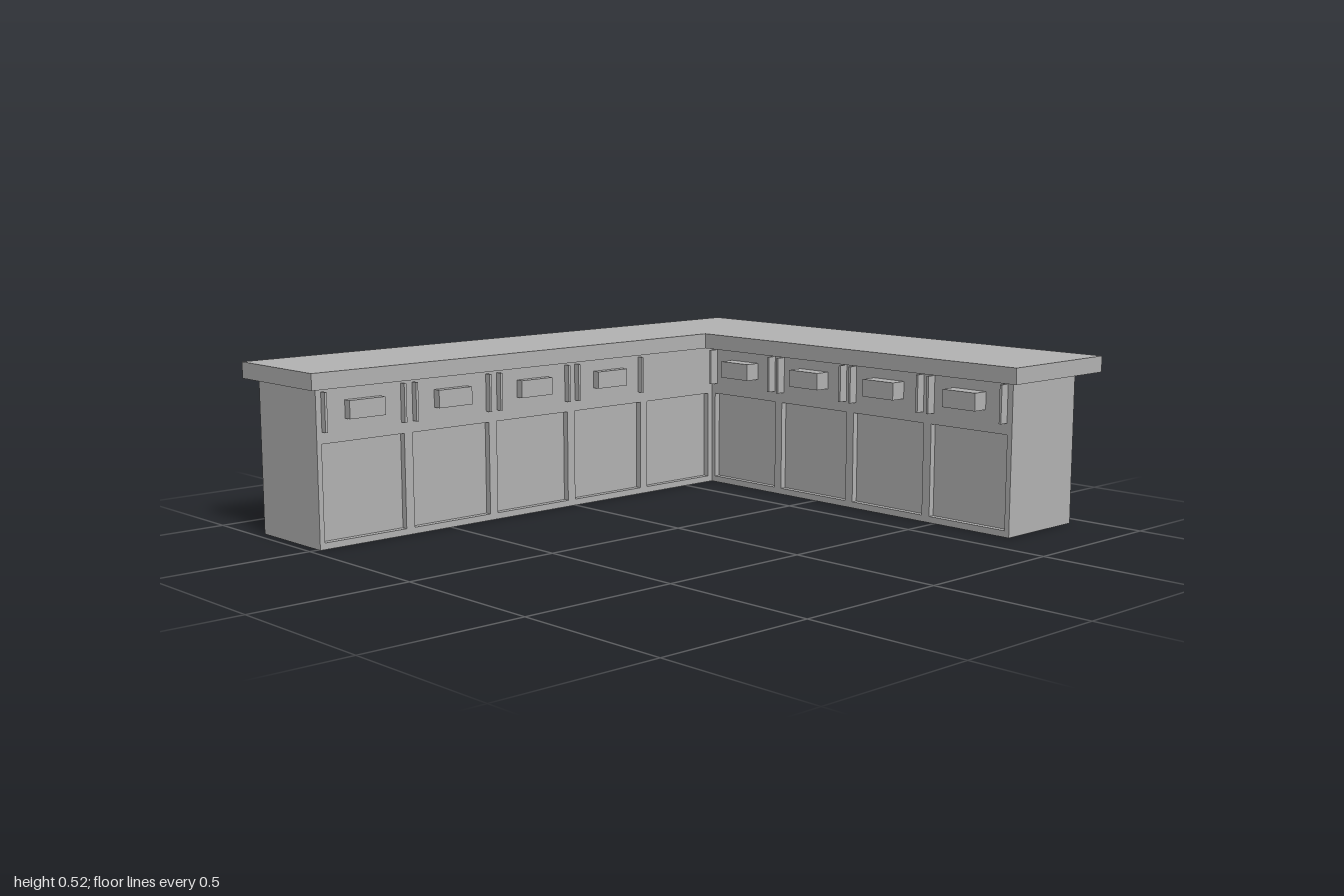
import * as THREE from 'three';

const grey = new THREE.MeshStandardMaterial({ color: 0xb2b2b2 });
grey.name = 'plain grey';

const RECESS = 0.02, BODY_H = 0.475, PITCH = 0.318, DOOR_W = 0.288;

function add(parent, name, geometry, x = 0, y = 0, z = 0) {
  const mesh = new THREE.Mesh(geometry, grey);
  mesh.name = name;
  mesh.position.set(x, y, z);
  parent.add(mesh);
  return mesh;
}

// L-shaped slab: back wing along x, side wing along +z
function lSlab(x0, x1, z0, z1, innerX, innerZ, height) {
  const outline = [[x0, z0], [x1, z0], [x1, z1], [innerX, z1], [innerX, innerZ], [x0, innerZ]];
  const shape = new THREE.Shape(outline.map(([x, z]) => new THREE.Vector2(x, -z)));
  return new THREE.ExtrudeGeometry(shape, { depth: height, bevelEnabled: false }).rotateX(-Math.PI / 2);
}

// Cabinet front facing local +z, its outer face at z = 0
function cabinetFront(name, length, doors, drawers, barDepth, handleDepth) {
  const run = new THREE.Group();
  run.name = name;

  // Face frame with an opening for each recessed door
  const frame = new THREE.Shape([[0, 0], [length, 0], [length, BODY_H], [0, BODY_H]]
    .map(([x, y]) => new THREE.Vector2(x, y)));
  for (let i = 0; i < doors; i++) {
    const a = 0.016 + i * PITCH, b = a + DOOR_W;
    frame.holes.push(new THREE.Path([[a, 0.02], [a, 0.312], [b, 0.312], [b, 0.02]]
      .map(([x, y]) => new THREE.Vector2(x, y))));
  }
  add(run, 'doorFrame', new THREE.ExtrudeGeometry(frame, { depth: RECESS, bevelEnabled: false }), 0, 0, -RECESS);

  // Drawer handles with a slim upright bar at each side
  for (let i = 0; i < drawers; i++) {
    const centre = 0.16 + i * PITCH;
    add(run, 'drawerHandle', new THREE.BoxGeometry(0.124, 0.055, handleDepth), centre, 0.407, handleDepth / 2);
    for (const side of [-1, 1]) {
      add(run, 'drawerBar', new THREE.BoxGeometry(0.008, 0.118, barDepth), centre + side * 0.138, 0.406, barDepth / 2);
    }
  }
  return run;
}

export function createModel() {
  const model = new THREE.Group();
  model.name = 'cornerCounter';

  // Counter top and cabinet core
  add(model, 'counterTop', lSlab(-1, 1, -0.843, 0.84, 0.563, -0.46, 0.05), 0, BODY_H, 0);
  add(model, 'cabinetBody', lSlab(-0.97, 0.94, -0.8, 0.785, 0.625 + RECESS, -0.49 - RECESS, BODY_H));

  // Inner fronts of both wings
  const back = cabinetFront('backWingFront', 1.615, 5, 4, 0.02, 0.026);
  back.position.set(-0.97, 0, -0.49);
  const side = cabinetFront('sideWingFront', 1.275, 4, 4, 0.03, 0.053);
  side.position.set(0.625, 0, -0.49);
  side.rotation.y = -Math.PI / 2;
  model.add(back, side);

  return model;
}
